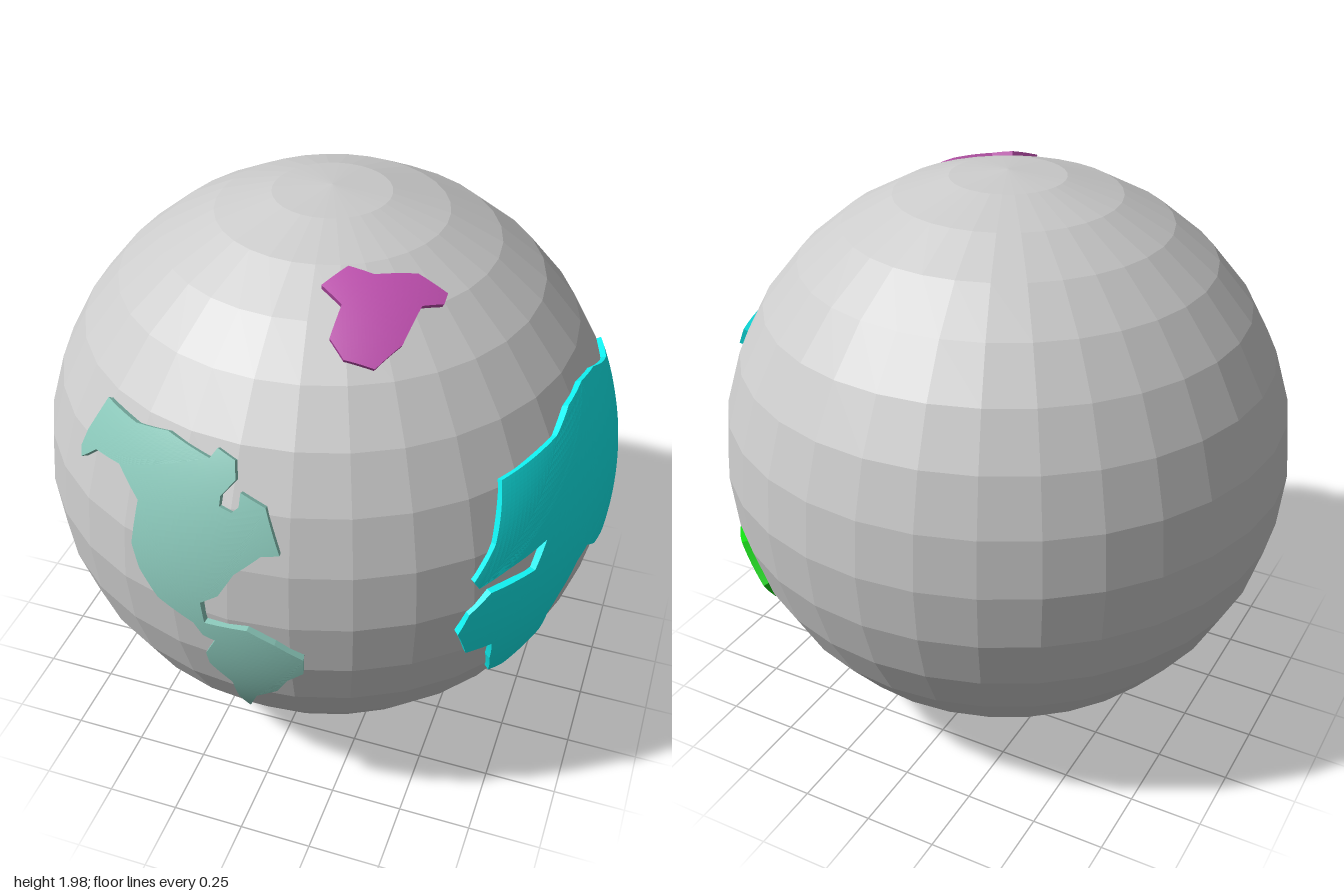
import * as THREE from 'three';

const R = 0.99;        // ocean sphere
const LAND = 1.006;    // land surface
const ROOT = 0.965;    // land walls end inside the sphere
const CENTRE = new THREE.Vector3(-0.008, 0.99, -0.005);

// Outlines are [horizontal, vertical] pairs seen along one axis;
// each facing turns them, with a depth, into model directions.
const FACING = {
  front: (a, b, d) => new THREE.Vector3(a, b, d),
  side: (a, b, d) => new THREE.Vector3(d, b, -a),
  top: (a, b, d) => new THREE.Vector3(a, d, -b),
};

const WEST_LAND = [
  -.56, 1.4, -.49, 1.52, -.36, 1.51, -.24, 1.53, -.09, 1.5, -.07, 1.53, -.01, 1.51, 0, 1.46,
  -.04, 1.41, -.04, 1.38, 0, 1.37, .02, 1.39, .02, 1.43, .1, 1.4, .155, 1.265, .1, 1.255,
  .02, 1.18, -.03, 1.09, -.09, 1.045, -.08, .965, .06, .975, .145, .93, .23, .87, .225, .8,
  .17, .75, .13, .675, .05, .605, 0, .48, -.02, .56, -.02, .675, -.085, .76, -.09, .815,
  -.05, .895, -.09, .905, -.12, .95, -.245, 1, -.31, 1.08, -.34, 1.16, -.32, 1.31,
  -.405, 1.38, -.51, 1.37, -.58, 1.31, -.585, 1.34,
];
const EAST_LAND = [
  -.56, 1.4, -.33, 1.43, -.225, 1.475, -.1, 1.49, .02, 1.47, .12, 1.425, .23, 1.38, .36, 1.37,
  .365, 1.315, .235, 1.27, .2, 1.195, .19, 1.13, .13, .965, .06, .94, 0, .855, -.17, .9,
  -.25, .955, -.31, .93, -.38, .83, -.405, .76, -.385, .66, -.46, .535, -.545, .58, -.6, .69,
  -.63, .79, -.705, .8, -.745, .91, -.725, .985, -.67, 1.045, -.53, 1.05, -.48, 1.14,
  -.615, 1.11, -.7, 1.08, -.71, 1.11, -.64, 1.215,
];
const SOUTH_ISLAND = [
  .54, .64, .56, .71, .73, .755, .76, .625, .66, .505, .605, .555, .55, .545, .59, .63, .535, .59,
];
const NORTH_ISLAND = [
  .165, -.355, .245, -.35, .36, -.28, .455, -.285, .455, -.325, .4, -.37, .38, -.5,
  .325, -.59, .235, -.605, .18, -.57, .185, -.475, .11, -.44,
];

// Raised patch of land: subdivided outline projected on a sphere, plus walls
function land(name, color, facing, flat) {
  const toModel = FACING[facing];
  const origin = {
    front: [CENTRE.x, CENTRE.y], side: [-CENTRE.z, CENTRE.y], top: [CENTRE.x, -CENTRE.z],
  }[facing];
  const outline = [];
  for (let i = 0; i < flat.length; i += 2) {
    outline.push(new THREE.Vector2(flat[i] - origin[0], flat[i + 1] - origin[1]));
  }
  if (THREE.ShapeUtils.isClockWise(outline)) outline.reverse();

  const lift = (p, radius) => {
    const depth = Math.sqrt(Math.max(0, LAND * LAND - p.lengthSq()));
    return toModel(p.x, p.y, depth).setLength(radius);
  };
  const positions = [];
  const addTriangle = (...corners) => corners.forEach((c) => positions.push(c.x, c.y, c.z));

  // Curved upper surface
  const mid = (p, q) => p.clone().add(q).multiplyScalar(0.5);
  const split = (a, b, c, level) => {
    if (level === 0) {
      addTriangle(lift(a, LAND), lift(b, LAND), lift(c, LAND));
      return;
    }
    const ab = mid(a, b), bc = mid(b, c), ca = mid(c, a);
    [[a, ab, ca], [ab, b, bc], [ca, bc, c], [ab, bc, ca]]
      .forEach((t) => split(...t, level - 1));
  };
  const LEVELS = 4;
  for (const [i, j, k] of THREE.ShapeUtils.triangulateShape(outline, [])) {
    split(outline[i], outline[j], outline[k], LEVELS);
  }

  // Coast walls
  const steps = 2 ** LEVELS;
  outline.forEach((p, i) => {
    const q = outline[(i + 1) % outline.length];
    for (let s = 0; s < steps; s++) {
      const a = p.clone().lerp(q, s / steps), b = p.clone().lerp(q, (s + 1) / steps);
      const a0 = lift(a, ROOT), b0 = lift(b, ROOT), a1 = lift(a, LAND), b1 = lift(b, LAND);
      addTriangle(a0, b0, b1);
      addTriangle(a0, b1, a1);
    }
  });

  const geometry = new THREE.BufferGeometry();
  geometry.setAttribute('position', new THREE.Float32BufferAttribute(positions, 3));
  geometry.computeVertexNormals();
  const mesh = new THREE.Mesh(geometry, new THREE.MeshStandardMaterial({ color }));
  mesh.name = name;
  mesh.position.copy(CENTRE);
  return mesh;
}

export function createModel() {
  const globe = new THREE.Group();
  globe.name = 'globe';

  // Faceted ocean sphere
  const ocean = new THREE.Mesh(
    new THREE.SphereGeometry(R, 32, 16),
    new THREE.MeshStandardMaterial({ color: 0xcccccc, flatShading: true }),
  );
  ocean.name = 'ocean';
  ocean.position.copy(CENTRE);

  globe.add(
    ocean,
    land('westContinent', 0x8ccabc, 'front', WEST_LAND),
    land('eastContinent', 0x10f0f0, 'side', EAST_LAND),
    land('southIsland', 0x11e011, 'side', SOUTH_ISLAND),
    land('northIsland', 0xc04fb0, 'top', NORTH_ISLAND),
  );
  return globe;
}
